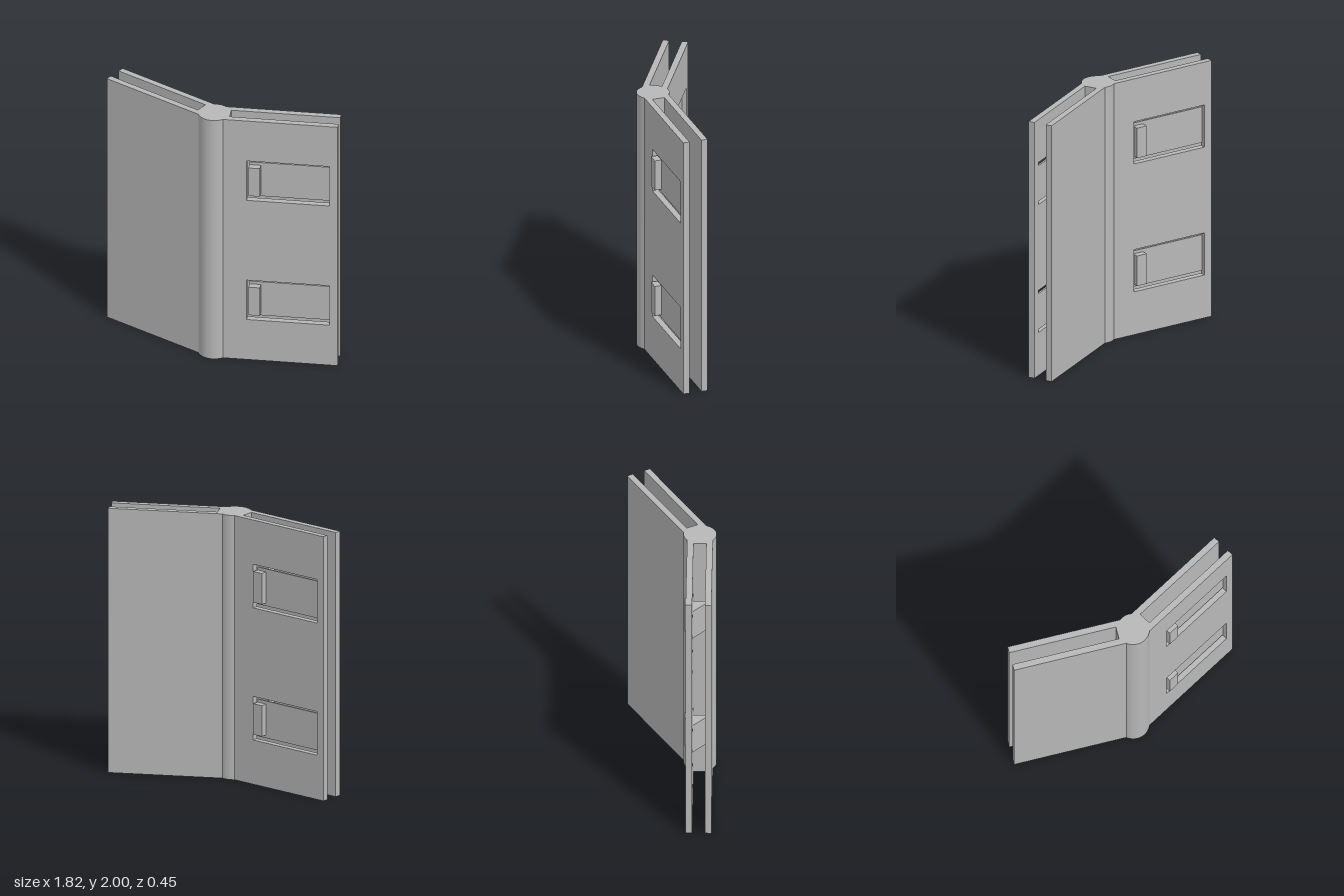
import * as THREE from 'three';
import { toCreasedNormals } from 'three/addons/utils/BufferGeometryUtils.js';

const HEIGHT = 2, TILT = Math.PI / 12, HUB_Z = 0.102, HUB_R = 0.12;
const OUTER = 0.0935, INNER = 0.0465, ROOT = 0.118, TIP = 0.916;
const CLIP_HEIGHTS = [0.5, 1.5];

const grey = new THREE.MeshStandardMaterial({ color: 0xb8b8b8 });
grey.name = 'grey plastic';

function part(name, geometry, parent) {
  const mesh = new THREE.Mesh(geometry, grey);
  mesh.name = name;
  parent.add(mesh);
  return mesh;
}

// box given by its limits
function block(name, x0, x1, y0, y1, z0, z1, parent) {
  part(name, new THREE.BoxGeometry(x1 - x0, y1 - y0, z1 - z0), parent)
    .position.set((x0 + x1) / 2, (y0 + y1) / 2, (z0 + z1) / 2);
}

// extrude a plan outline (x, -z) upwards
function upright(shape, height) {
  const g = new THREE.ExtrudeGeometry(shape, { depth: height, bevelEnabled: false, curveSegments: 24 });
  return toCreasedNormals(g.rotateX(-Math.PI / 2), 0.4);
}

// round hinge core with a web reaching into each wing
function hubGeometry() {
  const c = Math.cos(TILT), s = Math.sin(TILT);
  const plan = (u, v) => [u * c + v * s, u * s - v * c];
  const u = Math.sqrt(HUB_R ** 2 - OUTER ** 2);
  const [fx, fy] = plan(u, OUTER), [bx, by] = plan(u, -OUTER);
  const [wx, wy] = plan(ROOT, OUTER), [vx, vy] = plan(ROOT, -OUTER);
  const shape = new THREE.Shape();
  shape.moveTo(-fx, fy);
  shape.absarc(0, 0, HUB_R, Math.atan2(fy, -fx), Math.atan2(fy, fx), false);
  shape.lineTo(wx, wy);
  shape.lineTo(vx, vy);
  shape.lineTo(bx, by);
  shape.absarc(0, 0, HUB_R, Math.atan2(by, bx), Math.atan2(by, -bx), false);
  shape.lineTo(-vx, vy);
  shape.lineTo(-wx, wy);
  shape.closePath();
  return upright(shape, HEIGHT);
}

// plate with two rectangular windows
function windowedPlate() {
  const rect = (P, x0, x1, y0, y1) => new P([[x0, y0], [x1, y0], [x1, y1], [x0, y1]]
    .map(p => new THREE.Vector2(...p)));
  const shape = rect(THREE.Shape, ROOT, TIP, 0, HEIGHT);
  for (const y of CLIP_HEIGHTS) shape.holes.push(rect(THREE.Path, 0.249, 0.855, y - 0.165, y + 0.165));
  return new THREE.ExtrudeGeometry(shape, { depth: OUTER - INNER, bevelEnabled: false });
}

// wing: local x runs outwards, local +z is the clip side
function makeWing(name) {
  const wing = new THREE.Group();
  wing.name = name;
  block('plainPlate', ROOT, TIP, 0, HEIGHT, -OUTER, -INNER, wing);
  part('windowPlate', windowedPlate(), wing).position.z = INNER;

  // spring clips: recessed arm, raised tab and wedge behind it
  const wedge = new THREE.Shape([[0.3, -INNER], [0.433, -INNER], [0.33, INNER], [0.3, INNER]]
    .map(p => new THREE.Vector2(...p)));
  for (const y of CLIP_HEIGHTS) {
    const clip = new THREE.Group();
    clip.name = 'springClip';
    clip.position.y = y;
    block('clipArm', 0.265, 0.855, -0.14, 0.14, INNER, 0.06, clip);
    block('clipTab', 0.265, 0.348, -0.117, 0.117, 0.06, 0.11, clip);
    part('clipWedge', upright(wedge, 0.234), clip).position.y = -0.117;
    wing.add(clip);
  }
  wing.position.z = HUB_Z;
  return wing;
}

export function createModel() {
  const model = new THREE.Group();
  model.name = 'angledConnector';
  part('hub', hubGeometry(), model).position.z = HUB_Z;

  // the second wing is the first turned around, so its clips face the back
  const left = makeWing('leftWing');
  left.rotation.y = TILT;
  const right = makeWing('rightWing');
  right.rotation.y = Math.PI - TILT;
  model.add(left, right);
  return model;
}
